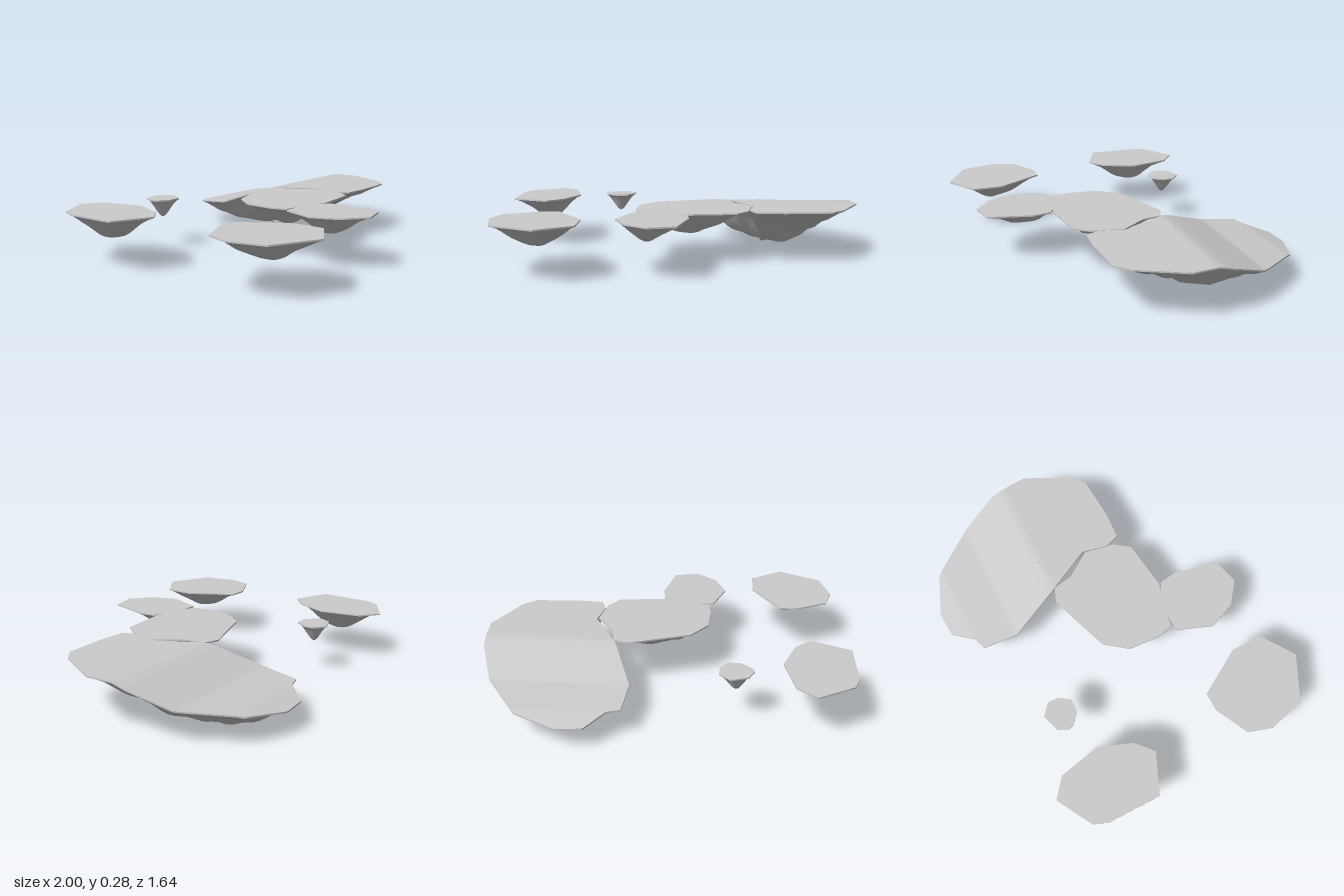
import * as THREE from 'three';
import { toCreasedNormals } from 'three/addons/utils/BufferGeometryUtils.js';

const LEVEL = 0.28, RIM = 0.008;

// Each island: outline corners as [x, z], lowest point of the rock [x, y, z],
// optional bowl power (higher is more pointed) and roughness
const ISLANDS = [
  { name: 'largeIsland', low: [0.51, 0, -0.42], power: 1.2, rough: 0.026, sloped: true, outline: [
    [0.16, -0.48], [0.18, -0.68], [0.25, -0.7], [0.35, -0.81], [0.49, -0.82], [0.71, -0.73], [0.9, -0.47],
    [0.98, -0.26], [1, -0.04], [0.88, 0.21], [0.81, 0.275], [0.56, 0.29], [0.41, 0.28], [0.38, 0.2],
    [0.41, 0.06], [0.27, -0.2]] },
  { name: 'middleIsland', low: [0.05, 0.135, 0.1], outline: [
    [0.2, -0.21], [0.28, -0.18], [0.3, -0.07], [0.4, 0.07], [0.37, 0.24], [0.31, 0.32], [0.04, 0.355],
    [-0.22, 0.29], [-0.24, 0.2], [-0.23, 0.03], [-0.14, -0.09]] },
  { name: 'frontIsland', low: [-0.16, 0.168, 0.52], outline: [
    [-0.25, 0.31], [-0.08, 0.305], [0.04, 0.37], [0.055, 0.47], [0, 0.71], [-0.14, 0.745], [-0.26, 0.65], [-0.32, 0.5]] },
  { name: 'frontRightIsland', low: [-0.69, 0.155, 0.57], outline: [
    [-0.92, 0.37], [-0.74, 0.28], [-0.64, 0.28], [-0.49, 0.53], [-0.49, 0.7], [-0.67, 0.82], [-0.91, 0.7], [-0.96, 0.5]] },
  { name: 'backRightIsland', low: [-0.82, 0.145, -0.4], outline: [
    [-1, -0.49], [-0.97, -0.57], [-0.78, -0.68], [-0.68, -0.6], [-0.63, -0.37], [-0.7, -0.19], [-0.79, -0.11], [-1, -0.2]] },
  { name: 'smallIsland', low: [-0.39, 0.175, -0.46], power: 1.5, rough: 0.006, outline: [
    [-0.48, -0.46], [-0.45, -0.52], [-0.36, -0.55], [-0.3, -0.5], [-0.3, -0.44], [-0.34, -0.38], [-0.41, -0.38], [-0.47, -0.43]] },
];

// Ramp of the large island's top: [z, y]
const RAMP = [[-0.19, LEVEL], [-0.25, 0.262], [-0.48, 0.178], [-0.7, 0.158], [-0.83, 0.125]];

function topHeight(z, sloped) {
  if (!sloped || z >= RAMP[0][0]) return LEVEL;
  const i = RAMP.findIndex(([rampZ]) => z >= rampZ);
  const [z0, y0] = RAMP[i - 1], [z1, y1] = RAMP[i];
  return y0 + (y1 - y0) * (z - z0) / (z1 - z0);
}

// Broad bumps with a few ridges, about -1 to 1
function bumps(x, z) {
  const a = Math.sin(11 * x + 4 * z + 1.5 * Math.sin(7 * z));
  const b = Math.sin(14 * z - 6 * x + 1.5 * Math.sin(9 * x));
  const c = Math.sin(27 * x + 19 * z) * Math.sin(24 * z - 18 * x);
  return (1 - 2 * Math.abs(a)) * 0.45 + b * 0.35 + c * 0.3;
}

// Split the outline's edges into short steps, keeping its corners
function subdivide(outline, step) {
  const points = [];
  outline.forEach(([x, z], i) => {
    const [nx, nz] = outline[(i + 1) % outline.length];
    const count = Math.max(1, Math.round(Math.hypot(nx - x, nz - z) / step));
    for (let k = 0; k < count; k++) points.push([x + (nx - x) * k / count, z + (nz - z) * k / count]);
  });
  return points;
}

// Join rings of points, ordered from the rim inwards to a single point
function loft(rings, facingUp) {
  const n = rings[0].length, index = [];
  for (let r = 0; r < rings.length - 1; r++) {
    for (let i = 0; i < n; i++) {
      const a = r * n + i, b = r * n + (i + 1) % n, c = a + n, d = b + n;
      const last = r === rings.length - 2;
      if (facingUp) index.push(b, a, c, ...(last ? [] : [b, c, d]));
      else index.push(a, b, c, ...(last ? [] : [b, d, c]));
    }
  }
  const geometry = new THREE.BufferGeometry();
  geometry.setAttribute('position', new THREE.Float32BufferAttribute(rings.flat(2), 3));
  geometry.setIndex(index);
  geometry.computeVertexNormals();
  return geometry;
}

function createIsland({ name, outline, low, power = 1.4, rough = 0.016, sloped = false }, material) {
  const edge = subdivide(outline, 0.035);
  const [lx, ly, lz] = low;
  const inward = ([x, z], t) => [x + (lx - x) * t, z + (lz - z) * t];

  // Walkable top, flat or following the ramp
  const steps = sloped ? 28 : 1;
  const topRings = [];
  for (let r = 0; r <= steps; r++) {
    topRings.push(edge.map((p) => {
      const [x, z] = inward(p, r / steps);
      return [x, topHeight(z, sloped), z];
    }));
  }

  // Thin rim, then the rocky bowl narrowing to its lowest point
  const depth = sloped ? 18 : 12;
  const rockRings = [edge.map(([x, z]) => [x, topHeight(z, sloped), z])];
  for (let r = 0; r <= depth; r++) {
    const t = r / depth;
    const fall = Math.sin(Math.PI / 2 * Math.pow(t, power));
    const fade = Math.min(1, t * 3) * Math.min(1, (1 - t) * 3);
    rockRings.push(edge.map((p) => {
      const [x, z] = inward(p, t);
      const rimY = topHeight(p[1], sloped) - RIM;
      const y = rimY + (ly - rimY) * fall + bumps(x, z) * rough * fade;
      const ceiling = topHeight(z, sloped) - RIM;
      return [x, Math.max(ly, Math.min(y, ceiling)), z];
    }));
  }

  const island = new THREE.Group();
  island.name = name;
  const top = new THREE.Mesh(loft(topRings, true), material);
  top.name = 'islandTop';
  const rock = new THREE.Mesh(toCreasedNormals(loft(rockRings, false), 0.7), material);
  rock.name = 'rockUnderside';
  island.add(top, rock);
  return island;
}

export function createModel() {
  const model = new THREE.Group();
  model.name = 'floatingIslands';
  const material = new THREE.MeshStandardMaterial({ color: 0xcccccc });
  ISLANDS.forEach((island) => model.add(createIsland(island, material)));
  return model;
}
